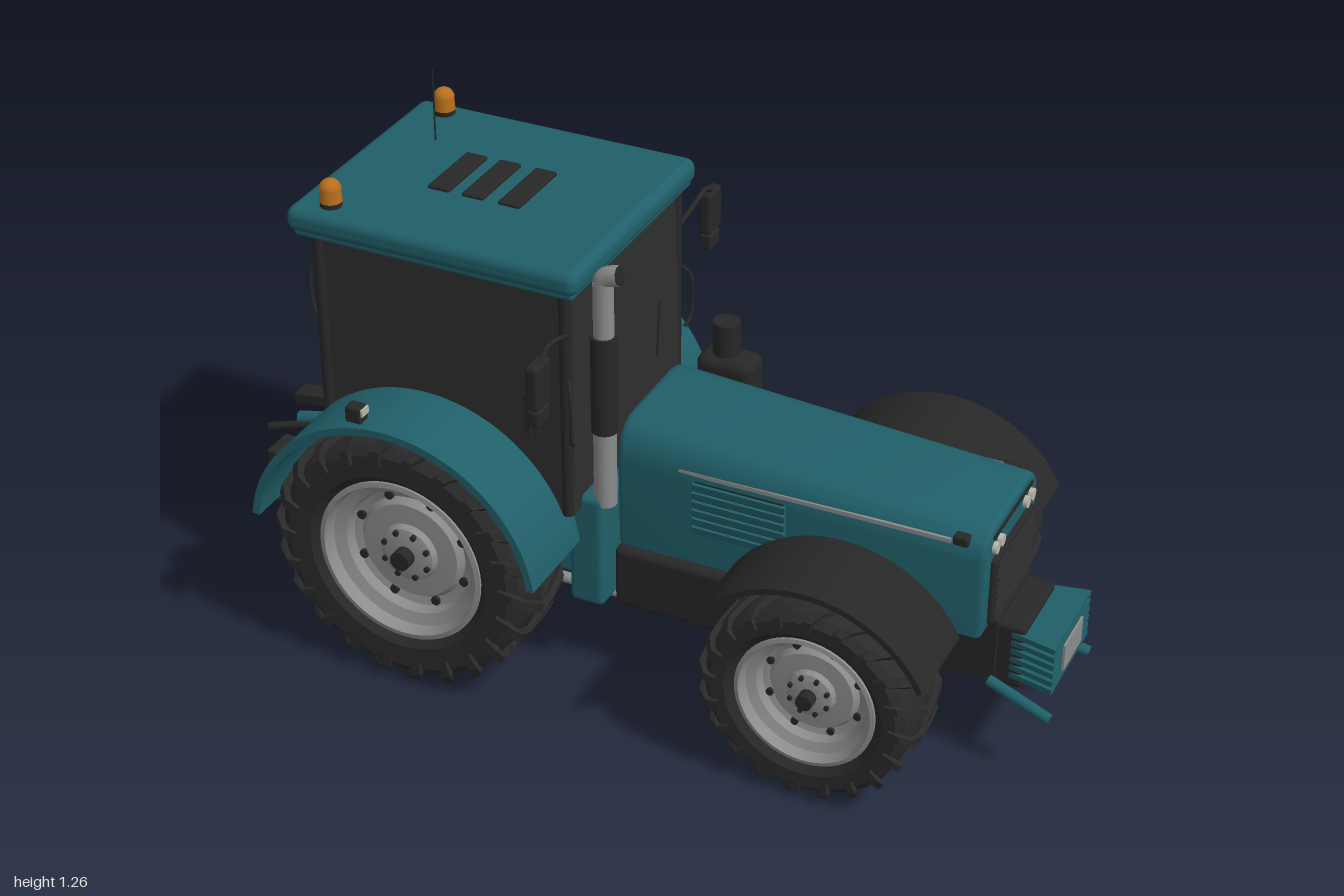
import * as THREE from 'three';
import { toCreasedNormals } from 'three/addons/utils/BufferGeometryUtils.js';
import { RoundedBoxGeometry } from 'three/addons/geometries/RoundedBoxGeometry.js';

const material = (name, color, side = THREE.FrontSide) => {
  const m = new THREE.MeshStandardMaterial({ color, side });
  m.name = name;
  return m;
};
const V = (x, y, z) => new THREE.Vector3(x, y, z);

export function createModel() {
  const model = new THREE.Group();
  model.name = 'tractor';
  const teal = material('teal paint', 0x205f69);
  const trim = material('black trim', 0x272727);
  const glass = material('dark glass', 0x2e2e2e);
  const rubber = material('tyre rubber', 0x2a2a2a, THREE.DoubleSide);
  const rimGrey = material('rim grey', 0x8b8d8c);
  const lamp = material('lamp white', 0xb9b6aa);
  const amber = material('amber', 0xb86f1c);

  const add = (name, geo, mat, x = 0, y = 0, z = 0, parent = model) => {
    const mesh = new THREE.Mesh(geo, mat);
    mesh.name = name;
    mesh.position.set(x, y, z);
    parent.add(mesh);
    return mesh;
  };
  // box given by its limits on each axis
  const box = (name, mat, x0, x1, y0, y1, z0, z1, r = 0) => {
    const d = [x1 - x0, y1 - y0, Math.abs(z1 - z0)];
    const geo = r ? new RoundedBoxGeometry(...d, 3, r) : new THREE.BoxGeometry(...d);
    return add(name, geo, mat, (x0 + x1) / 2, (y0 + y1) / 2, (z0 + z1) / 2);
  };
  const rod = (name, mat, a, b, r, r2 = r) => {
    const dir = b.clone().sub(a);
    const mesh = add(name, new THREE.CylinderGeometry(r2, r, dir.length(), 16), mat);
    mesh.position.copy(a).add(b).multiplyScalar(0.5);
    mesh.quaternion.setFromUnitVectors(V(0, 1, 0), dir.normalize());
    return mesh;
  };
  const hose = (name, mat, pts, r) =>
    add(name, new THREE.TubeGeometry(new THREE.CatmullRomCurve3(pts), 24, r, 10), mat);
  const extrude = (shape, depth) => toCreasedNormals(
    new THREE.ExtrudeGeometry(shape, { depth, bevelEnabled: false, curveSegments: 32 }), 0.5);
  const arcBand = (r0, r1, deg0, deg1) => {
    const a = deg0 * Math.PI / 180, b = deg1 * Math.PI / 180;
    return new THREE.Shape().absarc(0, 0, r1, a, b, false).absarc(0, 0, r0, b, a, true);
  };

  // chevron lugs: swept cross-sections from the tread centre over the shoulder
  function lugGeometry(R, w, count, dir) {
    const path = [[0, 1, 0, 0.95, 0], [0.5, 1, 0.5, 0.95, 0.12], [0.85, 0.99, 0.8, 0.94, 0.21],
      [1.03, 0.91, 0.93, 0.89, 0.27], [1.03, 0.8, 0.94, 0.8, 0.29]];
    const pos = [];
    const point = (r, a, z) => [r * R * Math.cos(a), r * R * Math.sin(a), z * w];
    for (let i = 0; i < count; i++) for (const s of [1, -1]) {
      const base = (i + (s > 0 ? 0 : 0.5)) / count * Math.PI * 2, half = 0.055;
      const rings = path.map(([zt, rt, zb, rb, k]) => {
        const a = base + dir * k;
        return [point(rb, a - half, s * zb), point(rt, a - half * 0.75, s * zt),
          point(rt, a + half * 0.75, s * zt), point(rb, a + half, s * zb)];
      });
      const quad = (a, b, c, d) => pos.push(...a, ...b, ...c, ...a, ...c, ...d);
      for (let j = 0; j < rings.length - 1; j++) for (let e = 0; e < 3; e++) {
        const q = [rings[j][e], rings[j][e + 1], rings[j + 1][e + 1], rings[j + 1][e]];
        quad(...(s > 0 ? q : q.reverse()));
      }
    }
    const geo = new THREE.BufferGeometry();
    geo.setAttribute('position', new THREE.Float32BufferAttribute(pos, 3));
    geo.computeVertexNormals();
    return geo;
  }
  function wheel(name, x, z, R, w, rim, count) {
    const side = Math.sign(z), g = new THREE.Group();
    g.name = name;
    g.position.set(x, R + 0.005, z);
    if (side < 0) g.rotation.y = Math.PI;
    model.add(g);
    const spin = (pts) => toCreasedNormals(new THREE.LatheGeometry(
      pts.map(([r, y]) => new THREE.Vector2(r, y)), 56).rotateX(Math.PI / 2), 0.6);
    add('tyre', spin([[rim, -0.75 * w], [rim + 0.025, -0.96 * w], [0.86 * R, -0.97 * w], [0.93 * R, -0.82 * w],
      [0.955 * R, 0], [0.93 * R, 0.82 * w], [0.86 * R, 0.97 * w], [rim + 0.025, 0.96 * w], [rim, 0.75 * w]]), rubber, 0, 0, 0, g);
    add('tyreLugs', lugGeometry(R, w, count, side), rubber, 0, 0, 0, g);
    add('rim', spin([[0.001, -0.6 * w], [rim * 0.9, -0.6 * w], [rim, -0.82 * w], [rim * 1.03, -0.8 * w],
      [rim * 1.03, 0.85 * w], [rim * 0.97, 0.87 * w], [rim * 0.93, 0.6 * w], [rim * 0.8, 0.5 * w], [rim * 0.76, 0.3 * w],
      [rim * 0.66, 0.25 * w], [rim * 0.6, 0.4 * w], [rim * 0.36, 0.42 * w], [rim * 0.33, 0.55 * w], [rim * 0.24, 0.6 * w],
      [0.001, 0.6 * w]]), rimGrey, 0, 0, 0, g);
    const disc = (label, r, d, mat, px, py, pz) =>
      add(label, new THREE.CylinderGeometry(r, r, d, 16).rotateX(Math.PI / 2), mat, px, py, pz, g);
    disc('hubCap', rim * 0.12, 0.04, trim, 0, 0, 0.68 * w);
    for (let i = 0; i < 8; i++) {
      const a = (i + 0.5) * Math.PI / 4, c = Math.cos(a), s = Math.sin(a);
      disc('rimHole', rim * 0.055, 0.008, trim, c * rim * 0.7, s * rim * 0.7, 0.3 * w);
      disc('wheelBolt', rim * 0.035, 0.012, trim, c * rim * 0.29, s * rim * 0.29, 0.58 * w);
    }
  }

  // bonnet: rounded section swept forwards, top falling and sides narrowing to the nose
  const section = new THREE.Shape();
  section.moveTo(-0.16, 0.36).lineTo(0.16, 0.36).lineTo(0.165, 0.57).quadraticCurveTo(0.16, 0.655, 0.09, 0.655)
    .lineTo(-0.09, 0.655).quadraticCurveTo(-0.16, 0.655, -0.165, 0.57);
  const bonnet = new THREE.ExtrudeGeometry(section, { depth: 0.83, bevelThickness: 0.015, bevelSize: 0.01, bevelSegments: 3, curveSegments: 12 });
  bonnet.rotateY(Math.PI / 2).translate(-0.015, 0, 0);
  const p = bonnet.attributes.position;
  for (let i = 0; i < p.count; i++) {
    const t = Math.max(0, p.getX(i) / 0.83), y = p.getY(i);
    if (y > 0.5) p.setY(i, y - 0.3 * (y - 0.5) * t ** 1.5);
    p.setZ(i, p.getZ(i) * (1 - 0.06 * t));
  }
  add('bonnet', toCreasedNormals(bonnet, 0.5), teal);
  box('grille', trim, 0.815, 0.842, 0.365, 0.535, -0.125, 0.125, 0.01);
  for (let i = 0; i < 9; i++) box('grilleBar', glass, 0.84, 0.846, 0.38 + i * 0.017, 0.386 + i * 0.017, -0.115, 0.115);
  box('browStrip', trim, 0.81, 0.834, 0.585, 0.594, -0.12, 0.12);

  // chassis and transmission
  box('chassis', trim, -0.1, 0.85, 0.21, 0.37, -0.11, 0.11);
  box('transmission', teal, -0.74, -0.05, 0.23, 0.47, -0.18, 0.18, 0.02);
  box('rearAxle', trim, -0.53, -0.37, 0.26, 0.4, -0.25, 0.25, 0.03);
  box('frontAxle', trim, 0.48, 0.58, 0.22, 0.31, -0.26, 0.26, 0.02);
  box('axleCarrier', trim, 0.42, 0.64, 0.17, 0.24, -0.085, 0.085);
  box('frontSupport', trim, 0.8, 0.91, 0.2, 0.36, -0.1, 0.1, 0.01);

  // cab: side profile cut out over the rear wheels, core filling the space between
  const cab = new THREE.Shape();
  cab.moveTo(-0.085, 0.47).lineTo(-0.095, 1.04).lineTo(-0.71, 1.04).lineTo(-0.7, 0.578)
    .absarc(-0.45, 0.33, 0.352, Math.PI * 0.749, Math.PI * 0.128, true);
  add('cabGlass', extrude(cab, 0.55), glass, 0, 0, -0.275);
  box('cabCore', glass, -0.695, -0.09, 0.44, 0.72, -0.2, 0.2);
  box('roof', teal, -0.77, -0.06, 1.035, 1.095, -0.305, 0.305, 0.024);
  box('roofLip', teal, -0.755, -0.07, 1.025, 1.05, -0.295, 0.295, 0.01);
  for (const x of [-0.505, -0.42, -0.33]) box('roofVent', trim, x - 0.027, x + 0.027, 1.085, 1.103, -0.09, 0.09, 0.005);
  rod('antenna', trim, V(-0.63, 1.09, -0.12), V(-0.63, 1.27, -0.12), 0.002);
  for (const z of [0.06, -0.16]) rod('wiper', trim, V(-0.08, 0.66, z + 0.025), V(-0.085, 0.79, z), 0.003);

  for (const s of [1, -1]) {
    wheel('rearWheel', -0.45, s * 0.333, 0.325, 0.11, 0.2, 22);
    wheel('frontWheel', 0.53, s * 0.325, 0.25, 0.104, 0.158, 20);

    // fenders
    const span = (name, shape, mat, x, y, z0, z1) => add(name, extrude(shape, z1 - z0), mat, x, y, s > 0 ? z0 : -z1);
    span('rearFender', arcBand(0.345, 0.363, 8, 172), teal, -0.45, 0.33, 0.2, 0.463);
    span('rearFenderWall', arcBand(0.02, 0.36, -8, 188), teal, -0.45, 0.33, 0.185, 0.203);
    span('frontFender', arcBand(0.288, 0.302, 26, 152), trim, 0.53, 0.25, 0.215, 0.432);
    rod('frontFenderStay', trim, V(0.53, 0.54, s * 0.25), V(0.53, 0.3, s * 0.17), 0.012);
    box('cabStepPanel', teal, -0.12, -0.035, 0.21, 0.5, s * 0.15, s * 0.24, 0.015);
    box('fuelTank', trim, -0.03, 0.29, 0.195, 0.35, s * 0.09, s * 0.195, 0.015);
    rod('underPipe', rimGrey, V(-0.2, 0.18, s * 0.13), V(0.32, 0.18, s * 0.13), 0.013);

    // cab frame and door
    for (const x of [-0.705, -0.1]) rod('cabPillar', trim, V(x, x < -0.5 ? 0.6 : 0.47, s * 0.272), V(x, 1.04, s * 0.272), 0.014);
    box('doorHandle', trim, -0.2, -0.185, 0.66, 0.76, s * 0.275, s * 0.285);
    hose('grabRail', trim, [V(-0.08, 0.66, s * 0.28), V(-0.075, 0.68, s * 0.3), V(-0.075, 0.79, s * 0.3), V(-0.09, 0.82, s * 0.28)], 0.005);
    hose('rearRail', trim, [V(-0.7, 0.8, s * 0.26), V(-0.733, 0.82, s * 0.26), V(-0.733, 0.95, s * 0.26), V(-0.7, 0.97, s * 0.26)], 0.005);

    // mirrors
    hose('mirrorArm', trim, [V(-0.09, 0.93, s * 0.275), V(-0.08, 0.96, s * 0.34), V(-0.08, 0.968, s * 0.39), V(-0.08, 0.945, s * 0.425)], 0.006);
    box('mirror', trim, -0.1, -0.07, 0.845, 0.95, s * 0.393, s * 0.46, 0.008);
    box('lowerMirror', trim, -0.1, -0.07, 0.8, 0.842, s * 0.4, s * 0.453, 0.008);

    // beacons
    const bx = -0.68, bz = s * 0.25;
    rod('beaconBase', trim, V(bx, 1.09, bz), V(bx, 1.107, bz), 0.025);
    rod('beaconBody', amber, V(bx, 1.107, bz), V(bx, 1.135, bz), 0.026, 0.024);
    add('beaconDome', new THREE.SphereGeometry(0.025, 20, 8, 0, Math.PI * 2, 0, Math.PI / 2), amber, bx, 1.135, bz);

    // lamps
    box('fenderLamp', trim, -0.555, -0.515, 0.685, 0.725, s * 0.413, s * 0.447, 0.006);
    box('fenderLampLens', lamp, -0.516, -0.511, 0.705, 0.722, s * 0.416, s * 0.444);
    box('tailLamp', trim, -0.815, -0.785, 0.43, 0.5, s * 0.3, s * 0.38, 0.006);
    box('tailLampLens', amber, -0.82, -0.813, 0.44, 0.49, s * 0.31, s * 0.35);
    for (const z of [0.08, 0.113]) rod('headlight', lamp, V(0.81, 0.562, s * z), V(0.84, 0.562, s * z), 0.014);
    box('cornerLamp', trim, 0.755, 0.79, 0.578, 0.602, s * 0.14, s * 0.167, 0.006);

    // bonnet side details
    const stripe = box('sideStripe', rimGrey, 0.12, 0.75, 0.58, 0.59, s * 0.161, s * 0.168);
    stripe.rotation.y = s * 0.011;
    box('louvreBack', trim, 0.16, 0.37, 0.435, 0.57, s * 0.165, s * 0.173);
    for (let i = 0; i < 6; i++) box('louvre', teal, 0.155, 0.375, 0.437 + i * 0.0225, 0.454 + i * 0.0225, s * 0.166, s * 0.179).rotation.x = s * 0.15;

    // front lift arms and rear linkage
    rod('frontArm', teal, V(0.84, 0.215, s * 0.115), V(0.99, 0.17, s * 0.135), 0.013);
    rod('lowerLink', trim, V(-0.7, 0.24, s * 0.1), V(-0.99, 0.175, s * 0.145), 0.012);
    rod('liftArm', teal, V(-0.7, 0.46, s * 0.11), V(-0.89, 0.42, s * 0.125), 0.016);
    rod('liftRod', rimGrey, V(-0.87, 0.42, s * 0.125), V(-0.9, 0.2, s * 0.13), 0.007);
    rod('upperArm', trim, V(-0.8, 0.43, s * 0.125), V(-0.96, 0.39, s * 0.15), 0.01);
    rod('linkEnd', trim, V(-0.985, 0.175, s * 0.125), V(-0.985, 0.175, s * 0.16), 0.015);
    hose('hydraulicHose', trim, [V(-0.73, 0.47, s * 0.05), V(-0.8, 0.5, s * 0.055), V(-0.84, 0.4, s * 0.06), V(-0.79, 0.28, s * 0.06), V(-0.73, 0.27, s * 0.05)], 0.006);
  }

  // exhaust stack and air intake
  rod('exhaustLower', rimGrey, V(-0.04, 0.48, 0.21), V(-0.04, 0.67, 0.21), 0.026);
  rod('muffler', trim, V(-0.04, 0.67, 0.21), V(-0.04, 0.91, 0.21), 0.03);
  rod('exhaustUpper', rimGrey, V(-0.04, 0.91, 0.21), V(-0.04, 1.04, 0.21), 0.023);
  hose('exhaustElbow', rimGrey, [V(-0.04, 1.03, 0.21), V(-0.037, 1.05, 0.21), V(-0.02, 1.06, 0.21), V(0.0, 1.065, 0.21)], 0.023);
  rod('exhaustMouth', trim, V(-0.01, 1.063, 0.21), V(0.001, 1.065, 0.21), 0.021);
  box('intakeCanister', trim, 0.0, 0.14, 0.43, 0.67, -0.25, -0.16, 0.025);
  rod('intakeCap', trim, V(0.06, 0.66, -0.208), V(0.06, 0.75, -0.208), 0.032);

  // front ballast: stacked slats flaring forwards, with a number plate blank
  const slat = new THREE.Shape();
  slat.moveTo(0.88, -0.1).lineTo(0.985, -0.122).lineTo(0.985, 0.122).lineTo(0.88, 0.1);
  for (let i = 0; i < 6; i++) add('ballastSlat', extrude(slat, 0.013).rotateX(-Math.PI / 2), teal, 0, 0.225 + i * 0.0215, 0);
  box('ballastCore', teal, 0.88, 0.965, 0.225, 0.34, -0.09, 0.09);
  box('plate', lamp, 0.984, 0.99, 0.25, 0.317, -0.06, 0.06).material = rimGrey;

  // rear hitch
  box('drawbarBracket', trim, -0.83, -0.76, 0.13, 0.21, -0.085, 0.085, 0.008);
  box('hitchMount', trim, -0.8, -0.72, 0.19, 0.36, -0.06, 0.06);
  box('drawbar', trim, -0.97, -0.77, 0.108, 0.13, -0.03, 0.03);
  rod('drawbarPin', trim, V(-0.945, 0.09, 0), V(-0.945, 0.15, 0), 0.01);
  box('topLink', trim, -0.97, -0.73, 0.4, 0.425, -0.025, 0.025).rotation.z = 0.15;
  box('hitchBlock', teal, -0.8, -0.72, 0.38, 0.47, -0.09, 0.09, 0.01);
  for (let i = 0; i < 6; i++) box('hydraulicCoupler', amber, -0.77, -0.73, 0.475, 0.5, -0.1 + i * 0.035, -0.075 + i * 0.035);
  return model;
}
